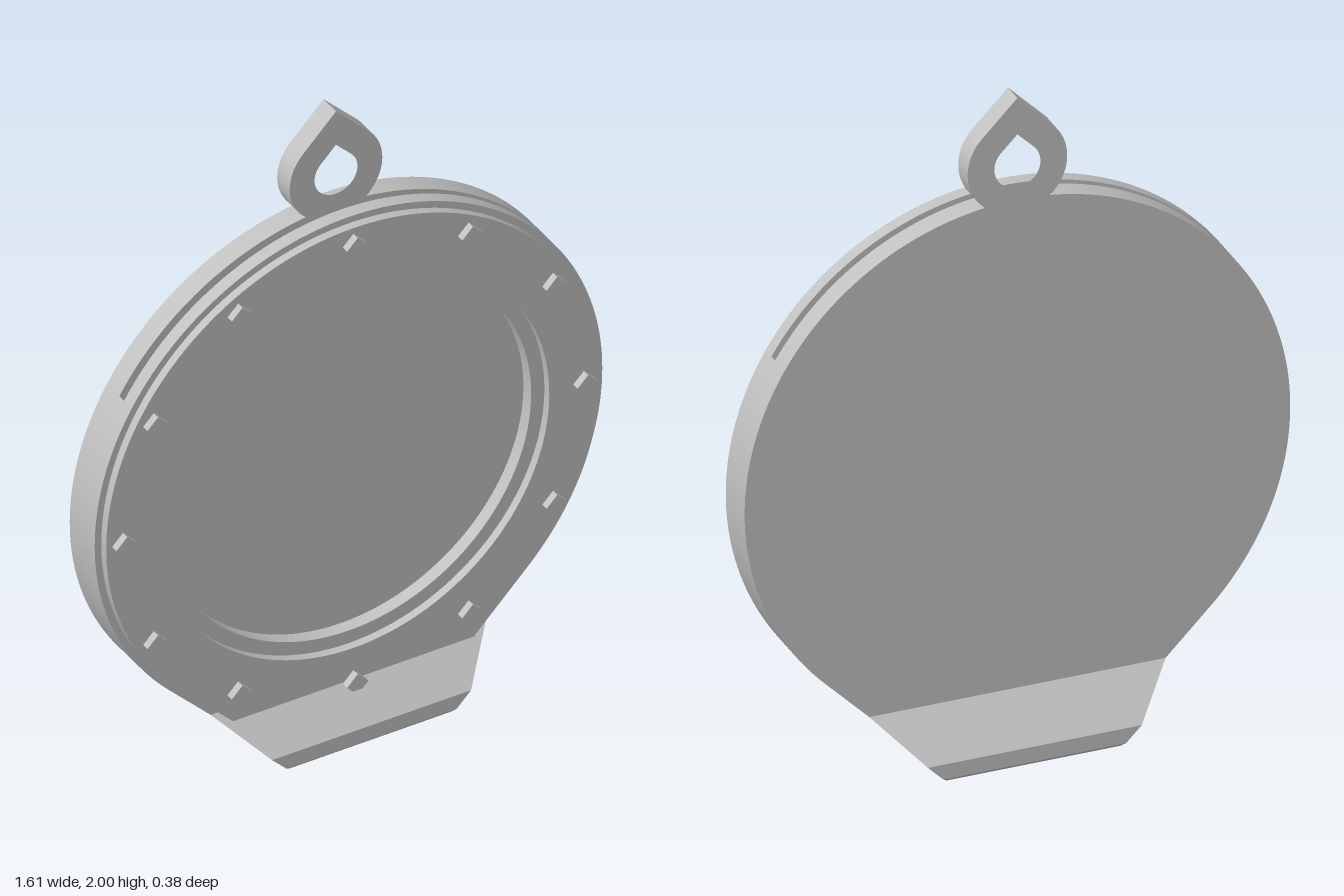
import * as THREE from 'three';
import { toCreasedNormals } from 'three/addons/utils/BufferGeometryUtils.js';

const CY = 0.88;      // centre height of the disc
const R = 0.806;      // disc radius
const SLOT_R = 0.688; // half width of the insert slot
const BACK = -0.066, SLOT_BACK = 0, SLOT_FRONT = 0.025, FRONT = 0.066, PLATE = 0.092;
const Q = Math.PI / 4;

// Circle with two 45 degree tangents running up to a flat (or a point) at height top
function dropUp(Type, cy, r, top) {
  const w = r * Math.SQRT2 - (top - cy);
  const s = new Type();
  s.absarc(0, cy, r, Q, 3 * Q, true);
  s.lineTo(-w, top);
  if (w > 0.001) s.lineTo(w, top);
  s.closePath();
  return s;
}

// Circle with two 45 degree tangents running down to a flat at height bottom
function dropDown(r, bottom) {
  const w = r * Math.SQRT2 - (CY - bottom);
  const s = new THREE.Shape();
  s.absarc(0, CY, r, -Q, 5 * Q, false);
  s.lineTo(-w, bottom);
  s.lineTo(w, bottom);
  s.closePath();
  return s;
}

function slab(shape, z0, z1) {
  const g = new THREE.ExtrudeGeometry(shape, { depth: z1 - z0, bevelEnabled: false, curveSegments: 72 });
  g.translate(0, 0, z0);
  return toCreasedNormals(g, 0.5);
}

// Foot from rectangular cross-sections [y, half width, half depth]
function footGeometry(levels) {
  const pos = [], idx = [];
  for (const [y, x, z] of levels) pos.push(-x, y, z, x, y, z, x, y, -z, -x, y, -z);
  for (let l = 0; l < levels.length - 1; l++) {
    for (let i = 0; i < 4; i++) {
      const a = l * 4 + i, b = l * 4 + (i + 1) % 4;
      idx.push(a, b, b + 4, a, b + 4, a + 4);
    }
  }
  idx.push(0, 2, 1, 0, 3, 2);
  const g = new THREE.BufferGeometry();
  g.setAttribute('position', new THREE.Float32BufferAttribute(pos, 3));
  g.setIndex(idx);
  const flat = g.toNonIndexed();
  flat.computeVertexNormals();
  return flat;
}

export function createModel() {
  const model = new THREE.Group();
  model.name = 'roundFrame';
  const grey = new THREE.MeshStandardMaterial({ color: 0xc0c0c0 });
  grey.name = 'grey';
  const add = (name, geometry, parent = model) => {
    const m = new THREE.Mesh(geometry, grey);
    m.name = name;
    parent.add(m);
    return m;
  };
  const bottom = 0.178;

  // Solid back, whose front face is the floor of the window
  add('backPanel', slab(dropDown(R, bottom), BACK, SLOT_BACK));

  // Middle layer: a U around the insert slot, open at the top
  const a = Math.acos(SLOT_R / R);
  const w = R * Math.SQRT2 - (CY - bottom);
  const u = new THREE.Shape();
  u.moveTo(-w, bottom);
  u.lineTo(w, bottom);
  u.absarc(0, CY, R, -Q, a, false);
  u.absarc(0, CY, SLOT_R, 0, -Math.PI, true);
  u.absarc(0, CY, R, Math.PI - a, 5 * Q, false);
  u.closePath();
  add('slotWall', slab(u, SLOT_BACK, SLOT_FRONT));

  // Front layer and raised plate, with stepped windows
  const front = dropDown(R, bottom);
  front.holes.push(dropUp(THREE.Path, CY - 0.002, 0.58, 1.526));
  add('frontFrame', slab(front, SLOT_FRONT, FRONT));

  const plate = dropDown(0.785, 0.14);
  plate.holes.push(dropUp(THREE.Path, CY - 0.002, 0.622, 1.563));
  add('facePlate', slab(plate, FRONT, PLATE));

  // Hanging loop on the back half
  const loop = dropUp(THREE.Shape, 1.792, 0.147, 2);
  loop.holes.push(dropUp(THREE.Path, 1.792, 0.068, 1.888));
  add('hangingLoop', slab(loop, BACK, SLOT_BACK));

  // Flared foot
  add('foot', footGeometry([
    [0, 0.256, 0.179], [0.01, 0.27, 0.188], [0.056, 0.316, 0.188], [bottom, w, FRONT],
  ]));

  // Ring of diamond studs
  const studs = new THREE.Group();
  studs.name = 'studs';
  model.add(studs);
  const d = 0.034;
  const diamond = new THREE.Shape([[d, 0], [0, d], [-d, 0], [0, -d]].map(p => new THREE.Vector2(...p)));
  const studGeometry = slab(diamond, PLATE - 0.005, 0.115);
  for (let i = 0; i < 12; i++) {
    const t = i * Math.PI / 6;
    add('stud', studGeometry, studs).position.set(0.732 * Math.cos(t), CY + 0.732 * Math.sin(t), 0);
  }
  return model;
}
